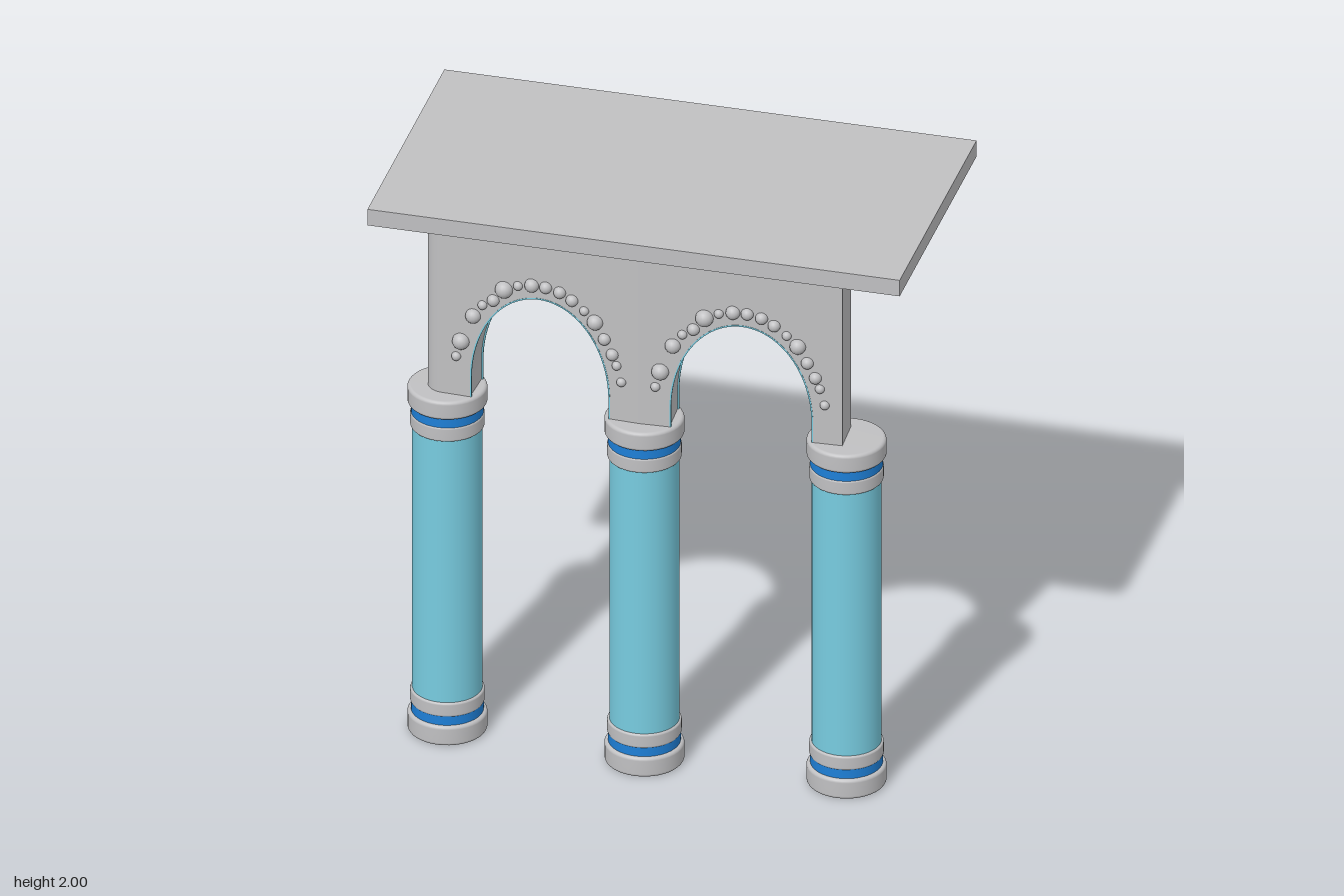
import * as THREE from 'three';

const mat = (name, color, extra = {}) => {
  const m = new THREE.MeshStandardMaterial({ color, ...extra });
  m.name = name;
  return m;
};
const stone = mat('grey stone', 0xc0c0c2);
const shaftBlue = mat('pale blue', 0x78cce0);
const bandBlue = mat('strong blue', 0x1e80d8);

const SPRING = 1.29, WALL_TOP = 1.94, THICK = 0.128;
const ARCH = { half: 0.24, cy: 1.36, rise: 0.34 };
const STOPS = [[-0.675, 0.3125], [0, 0.344], [0.675, 0.3125]]; // column x, z

// Beads around an arch: x from the bay centre, y, radius
const BEADS = [
  [-0.287, 1.435, 0.016], [-0.271, 1.494, 0.029], [-0.229, 1.596, 0.026], [-0.197, 1.642, 0.016],
  [-0.160, 1.666, 0.021], [-0.123, 1.713, 0.030], [-0.075, 1.735, 0.016], [-0.028, 1.745, 0.024],
  [0.020, 1.745, 0.021], [0.068, 1.735, 0.021], [0.110, 1.712, 0.021], [0.152, 1.680, 0.016],
  [0.189, 1.644, 0.027], [0.221, 1.586, 0.021], [0.248, 1.533, 0.021], [0.263, 1.494, 0.016],
  [0.279, 1.435, 0.016],
];

function add(parent, name, geometry, material, x = 0, y = 0, z = 0) {
  const mesh = new THREE.Mesh(geometry, material);
  mesh.name = name;
  mesh.position.set(x, y, z);
  parent.add(mesh);
  return mesh;
}

// Disc with softly rounded rims
function roundedDisc(r, y0, y1, bevel) {
  const pts = [new THREE.Vector2(0, y0)];
  for (let i = 0; i <= 5; i++) {
    const a = (i / 5) * Math.PI / 2;
    pts.push(new THREE.Vector2(r - bevel + bevel * Math.sin(a), y0 + bevel - bevel * Math.cos(a)));
  }
  for (let i = 0; i <= 5; i++) {
    const a = (i / 5) * Math.PI / 2;
    pts.push(new THREE.Vector2(r - bevel + bevel * Math.cos(a), y1 - bevel + bevel * Math.sin(a)));
  }
  pts.push(new THREE.Vector2(0, y1));
  return new THREE.LatheGeometry(pts, 40);
}

function makeColumn(x, z) {
  const g = new THREE.Group();
  g.name = 'column';
  g.position.set(x, 0, z);
  const drum = (name, r, y0, y1, m) =>
    add(g, name, new THREE.CylinderGeometry(r, r, y1 - y0, 40), m, 0, (y0 + y1) / 2, 0);
  drum('shaft', 0.115, 0.1, 1.19, shaftBlue);
  drum('lowerBand', 0.119, 0.06, 0.11, bandBlue);
  drum('upperBand', 0.119, 1.185, 1.23, bandBlue);
  add(g, 'base', roundedDisc(0.131, 0, 0.073, 0.012), stone);
  add(g, 'lowerRing', roundedDisc(0.122, 0.104, 0.156, 0.008), stone);
  add(g, 'upperRing', roundedDisc(0.122, 1.136, 1.19, 0.008), stone);
  add(g, 'capital', roundedDisc(0.131, 1.222, SPRING, 0.012), stone);
  return g;
}

// Half-ellipse arch line from left foot to right foot, inset by d
function archLine(path, d, reverse) {
  const h = ARCH.half - d;
  const s = reverse ? 1 : -1;
  path.lineTo(s * h, SPRING);
  path.lineTo(s * h, ARCH.cy);
  path.absellipse(0, ARCH.cy, h, ARCH.rise - d, reverse ? 0 : Math.PI, reverse ? Math.PI : 0, !reverse);
  path.lineTo(-s * h, SPRING);
}

function makeBay([x0, z0], [x1, z1]) {
  const g = new THREE.Group();
  g.name = 'archBay';
  const len = Math.hypot(x1 - x0, z1 - z0);
  g.position.set((x0 + x1) / 2, 0, (z0 + z1) / 2);
  g.rotation.y = -Math.atan2(z1 - z0, x1 - x0);

  // Wall with the arch cut out of its lower edge
  const shape = new THREE.Shape();
  shape.moveTo(-len / 2, SPRING);
  archLine(shape, 0, false);
  shape.lineTo(len / 2, SPRING);
  shape.lineTo(len / 2, WALL_TOP);
  shape.lineTo(-len / 2, WALL_TOP);
  add(g, 'archWall', new THREE.ExtrudeGeometry(shape,
    { depth: THICK, bevelEnabled: false, curveSegments: 40 }), stone, 0, 0, -THICK / 2);

  // Rounded end of the wall
  add(g, 'roundedEnd', new THREE.CylinderGeometry(THICK / 2, THICK / 2, WALL_TOP - SPRING, 32),
    stone, -len / 2, (WALL_TOP + SPRING) / 2, 0);

  // Thin trim along both arch edges
  const trim = new THREE.Shape();
  trim.moveTo(-ARCH.half, SPRING);
  archLine(trim, 0, false);
  archLine(trim, 0.005, true);
  const trimGeo = new THREE.ExtrudeGeometry(trim, { depth: 0.006, bevelEnabled: false, curveSegments: 40 });

  for (const side of [1, -1]) {
    add(g, 'archTrim', trimGeo, shaftBlue, 0, 0, side * (THICK / 2 - 0.002) - 0.003);
    for (const [x, y, r] of BEADS)
      add(g, 'bead', new THREE.SphereGeometry(r, 16, 12), stone, x, y, side * THICK / 2);
  }
  return g;
}

export function createModel() {
  const model = new THREE.Group();
  model.name = 'arcade';
  for (const [x, z] of STOPS) model.add(makeColumn(x, z));
  for (let i = 0; i < 2; i++) model.add(makeBay(STOPS[i], STOPS[i + 1]));
  add(model, 'roofSlab', new THREE.BoxGeometry(1.8, 0.06, 0.96), stone, 0, 1.97, 0);
  return model;
}
